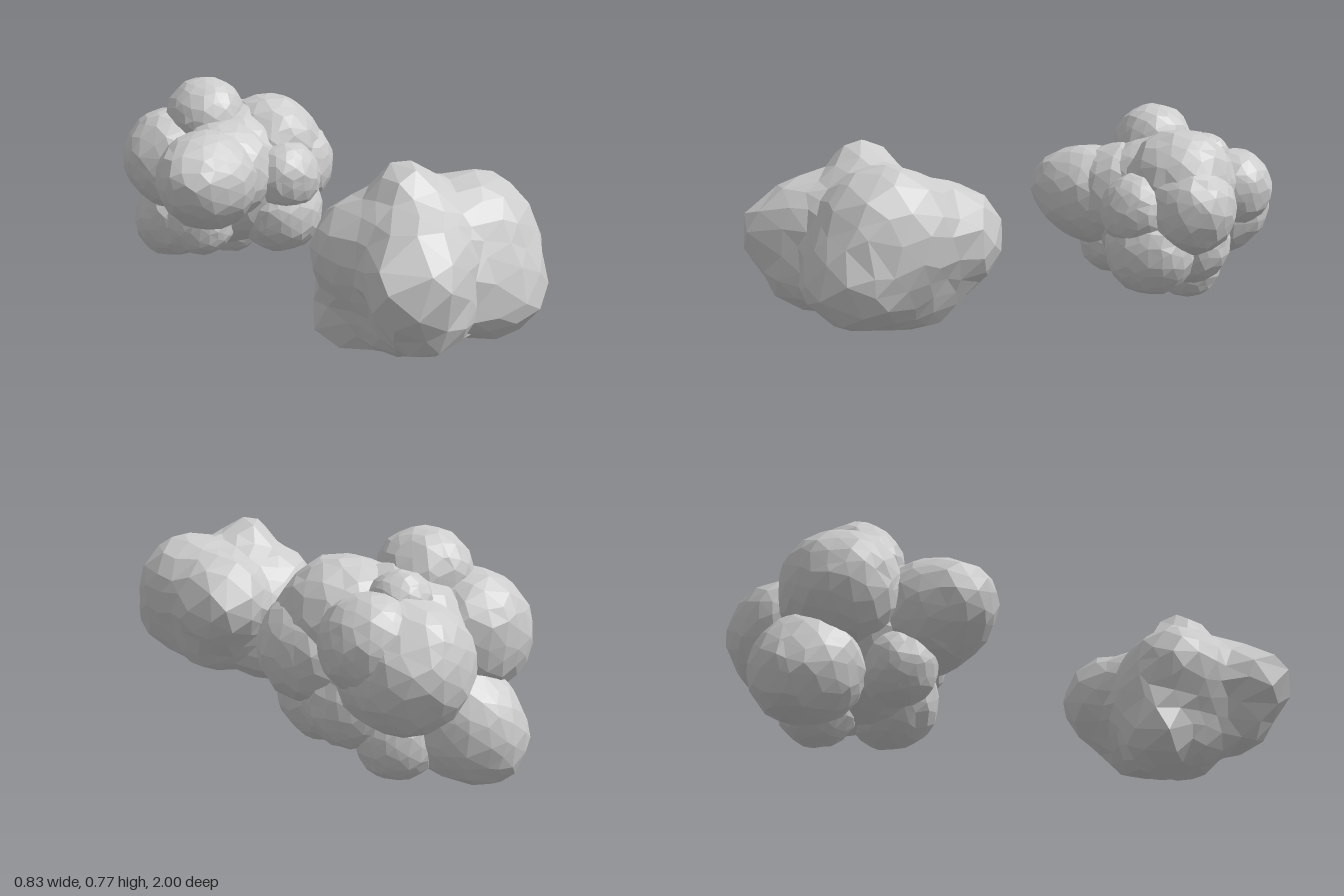
import * as THREE from 'three';

const material = new THREE.MeshStandardMaterial({ color: 0xcccccc, flatShading: true });

// Repeatable noise in -1..1, equal for all copies of the same corner
function noise(v, seed) {
  const k = Math.round(v.x * 500) * 12.9898 + Math.round(v.y * 500) * 78.233 + Math.round(v.z * 500) * 37.719 + seed * 4.17;
  const s = Math.sin(k) * 43758.5453;
  return (s - Math.floor(s)) * 2 - 1;
}

// Faceted ball whose unit directions are moved to the points given by a rule
function facetedBall(name, detail, seed, place) {
  const geometry = new THREE.IcosahedronGeometry(1, detail);
  const pos = geometry.attributes.position;
  const v = new THREE.Vector3();
  for (let i = 0; i < pos.count; i++) {
    v.fromBufferAttribute(pos, i).normalize();
    // Shuffle the corners sideways for irregular facets
    const j = 0.3 / (detail + 1);
    const dx = noise(v, seed) * j, dy = noise(v, seed + 1) * j, dz = noise(v, seed + 2) * j;
    v.set(v.x + dx, v.y + dy, v.z + dz).normalize();
    place(v);
    pos.setXYZ(i, v.x, v.y, v.z);
  }
  geometry.computeVertexNormals();
  const mesh = new THREE.Mesh(geometry, material);
  mesh.name = name;
  return mesh;
}

// One lobe: a slightly uneven ball, optionally drawn out towards a tip
function lobe(name, [x, y, z, r], seed, tip) {
  const pull = tip && new THREE.Vector3(...tip);
  const dir = pull && pull.clone().normalize();
  const mesh = facetedBall(name, 3, seed, (v) => {
    const t = dir ? Math.max(0, v.dot(dir)) : 0;
    v.multiplyScalar(r * (1.01 + 0.025 * noise(v, seed + 3)));
    if (dir) v.addScaledVector(pull, t * t);
  });
  mesh.position.set(x, y, z);
  return mesh;
}

// One skin shrunk from outside onto a soft blend of balls
function wrappedClump(name, centre, balls) {
  const c = new THREE.Vector3(...centre);
  const p = new THREE.Vector3();
  const blend = 38;
  const distance = (q) => {
    let sum = 0;
    for (const [x, y, z, r] of balls) sum += Math.exp(-blend * (Math.hypot(q.x - x, q.y - y, q.z - z) - r));
    return -Math.log(sum) / blend;
  };
  const mesh = facetedBall(name, 4, 11, (v) => {
    let reach = 0.8;
    for (let i = 0; i < 60; i++) reach -= 0.8 * distance(p.copy(c).addScaledVector(v, reach));
    v.multiplyScalar(reach * (1.005 + 0.01 * noise(v, 5)));
  });
  mesh.position.copy(c);
  return mesh;
}

export function createModel() {
  const model = new THREE.Group();
  model.name = 'foliageClumps';

  // Rear clump: separate overlapping lobes [x, y, z, radius], optional tip
  const rear = new THREE.Group();
  rear.name = 'rearClump';
  const lobes = [
    ['core', [0, 0.39, -0.6, 0.285]],
    ['topLobe', [-0.085, 0.615, -0.62, 0.155]],
    ['rightUpperLobe', [0.155, 0.485, -0.54, 0.205]],
    ['rightLobe', [0.235, 0.41, -0.51, 0.175]],
    ['rightBackLobe', [0.2, 0.46, -0.77, 0.15]],
    ['backLobe', [0.095, 0.39, -0.79, 0.205]],
    ['leftBackLobe', [-0.19, 0.45, -0.7, 0.2]],
    ['leftFrontLobe', [-0.19, 0.42, -0.41, 0.19], [-0.055, 0.015, 0.04]],
    ['innerFrontLobe', [-0.09, 0.43, -0.47, 0.195]],
    ['frontLobe', [0.12, 0.4, -0.37, 0.14]],
    ['upperBackLobe', [0.08, 0.56, -0.74, 0.1]],
    ['lowerFrontLobe', [0.13, 0.25, -0.42, 0.168]],
    ['lowerRightLobe', [0.15, 0.26, -0.6, 0.155]],
    ['lowerBackLobe', [-0.13, 0.195, -0.77, 0.178], [-0.02, -0.025, -0.025]],
    ['lowerLeftLobe', [-0.18, 0.23, -0.5, 0.13]],
    ['bottomLobe', [0.05, 0.145, -0.69, 0.13]],
  ];
  lobes.forEach(([name, ball, tip], i) => rear.add(lobe(name, ball, i * 7 + 1, tip)));
  model.add(rear);

  // Front clump: a single coarser skin over the same kind of lobes
  model.add(wrappedClump('frontClump', [-0.01, 0.36, 0.63], [
    // core and right side
    [0, 0.37, 0.63, 0.23], [0.15, 0.44, 0.68, 0.205], [0.13, 0.4, 0.45, 0.175], [0.13, 0.3, 0.81, 0.14],
    [0.19, 0.32, 0.78, 0.13],
    // left front corner
    [-0.14, 0.44, 0.78, 0.155], [-0.235, 0.41, 0.87, 0.13], [-0.14, 0.29, 0.82, 0.13],
    // left back and top knob
    [-0.16, 0.42, 0.56, 0.17], [-0.12, 0.31, 0.48, 0.13], [-0.08, 0.6, 0.645, 0.105],
    // underside
    [-0.17, 0.17, 0.46, 0.108], [-0.08, 0.18, 0.52, 0.11], [0.1, 0.24, 0.55, 0.13], [0.12, 0.27, 0.68, 0.13],
    [-0.1, 0.22, 0.66, 0.12],
  ]));
  return model;
}
